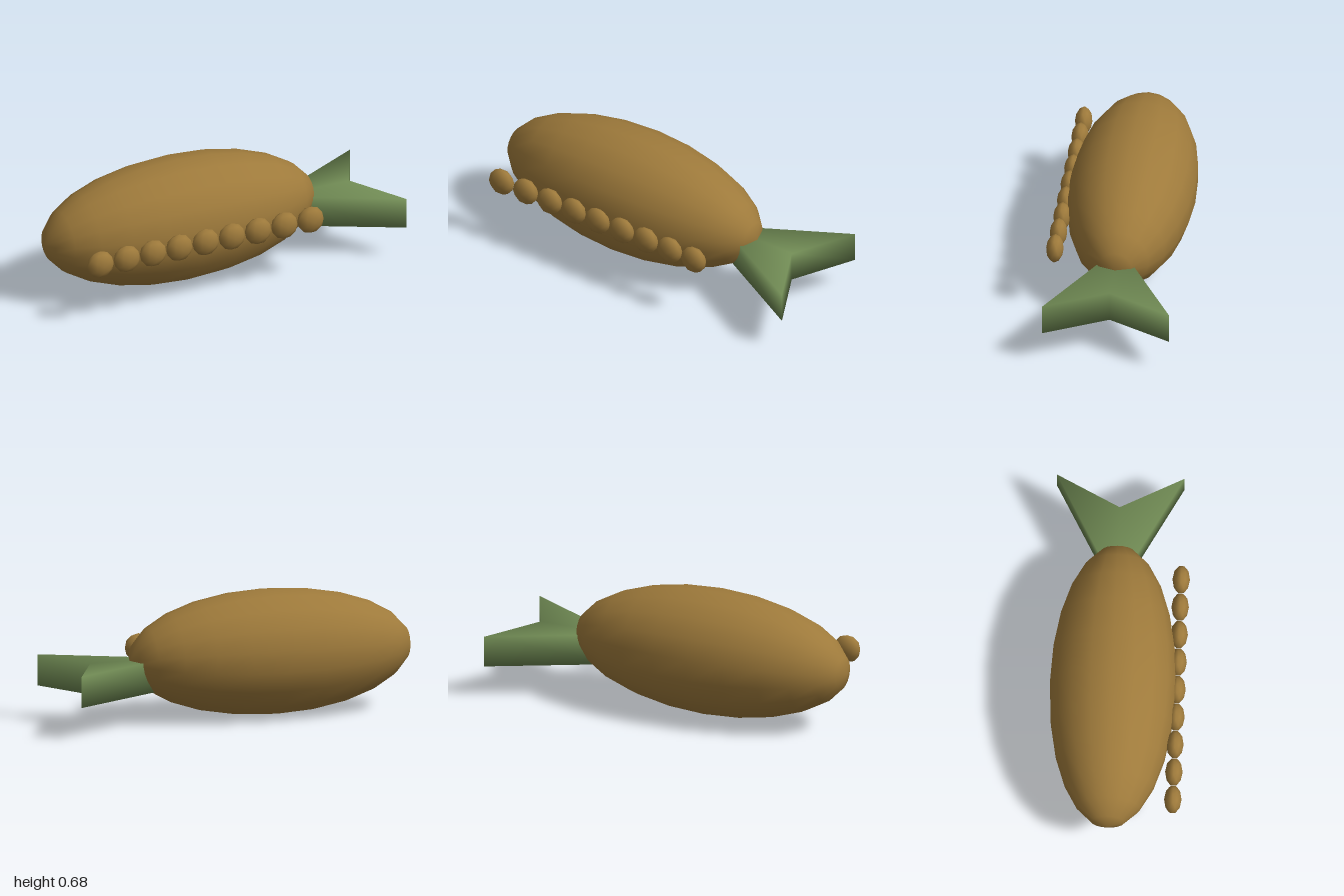
import * as THREE from 'three';
import { mergeVertices } from 'three/addons/utils/BufferGeometryUtils.js';

export function createModel() {
  const model = new THREE.Group();
  model.name = 'fish';

  const brown = new THREE.MeshStandardMaterial({ color: 0x9e7a3b });
  brown.name = 'brown';
  const green = new THREE.MeshStandardMaterial({ color: 0x6f8953 });
  green.name = 'green';

  // Plump spindle body, poles along x
  const bodyGeometry = new THREE.SphereGeometry(1, 18, 12);
  bodyGeometry.rotateZ(Math.PI / 2);
  bodyGeometry.scale(0.8, 0.342, 0.342);
  const body = new THREE.Mesh(bodyGeometry, brown);
  body.name = 'body';
  body.position.set(-0.2, 0.344, -0.025);
  model.add(body);

  // Row of flattened beads along the front
  const beads = new THREE.Group();
  beads.name = 'beads';
  const beadGeometry = new THREE.IcosahedronGeometry(1, 1);
  beadGeometry.scale(0.077, 0.077, 0.047);
  for (let i = 0; i < 9; i++) {
    const bead = new THREE.Mesh(beadGeometry, brown);
    bead.name = 'bead';
    bead.position.set(-0.832 + i * 0.157, 0.344, 0.32);
    beads.add(bead);
  }
  model.add(beads);

  // Forked tail: thick swallowtail slab, softly shaded across its edges
  const fork = new THREE.Shape([
    new THREE.Vector2(0.37, 0.025),
    new THREE.Vector2(1, -0.318),
    new THREE.Vector2(0.825, 0.025),
    new THREE.Vector2(1, 0.368),
  ]);
  let tailGeometry = new THREE.ExtrudeGeometry(fork, { depth: 0.17, bevelEnabled: false });
  tailGeometry.rotateX(-Math.PI / 2);
  tailGeometry.translate(0, 0.174, 0);
  tailGeometry.deleteAttribute('normal');
  tailGeometry.deleteAttribute('uv');
  tailGeometry.clearGroups();
  tailGeometry = mergeVertices(tailGeometry);
  tailGeometry.computeVertexNormals();
  const tail = new THREE.Mesh(tailGeometry, green);
  tail.name = 'tail';
  model.add(tail);

  return model;
}
